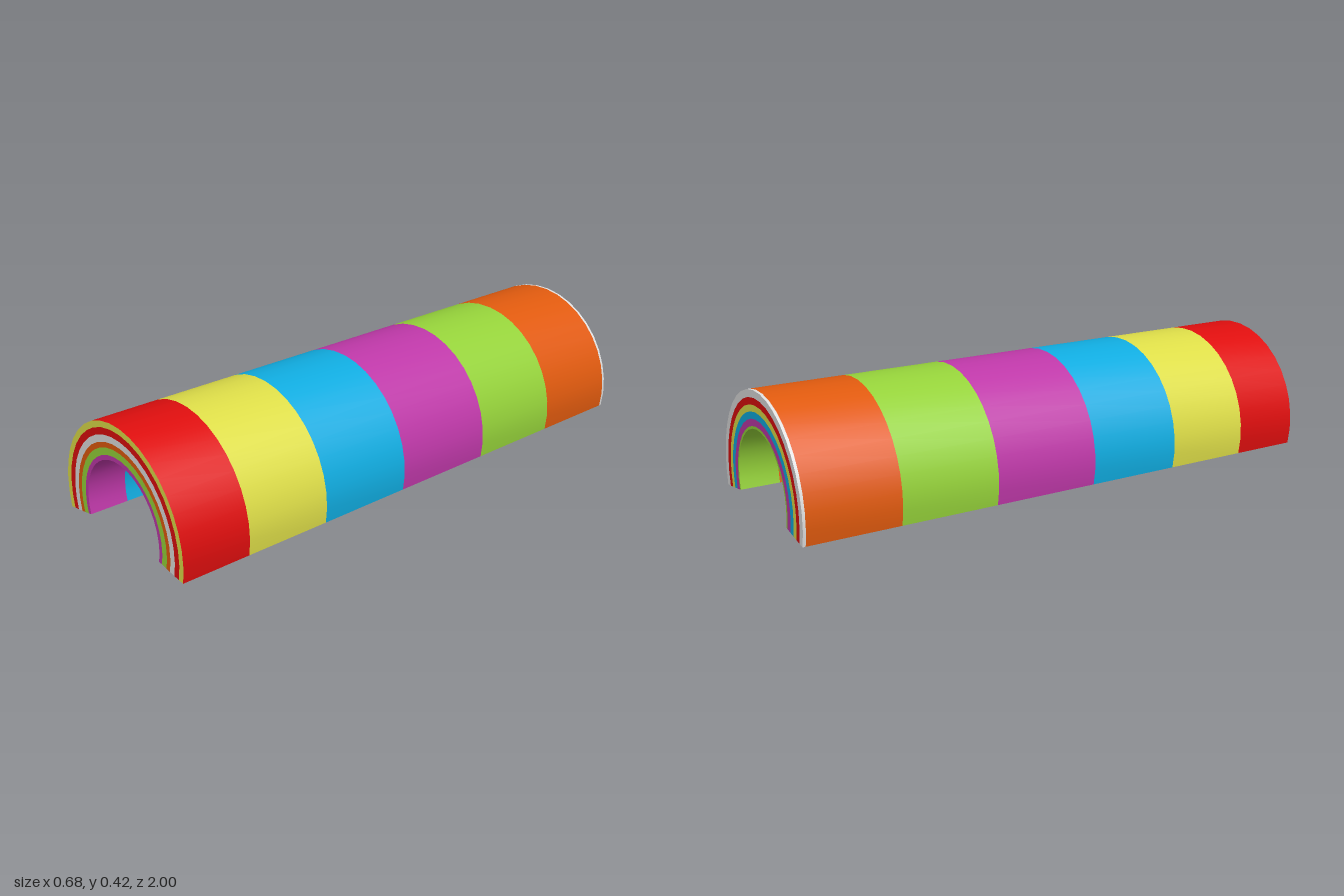
import * as THREE from 'three';

const mat = (name, color) => {
  const m = new THREE.MeshStandardMaterial({ color });
  m.name = name;
  return m;
};

const R_IN = 0.21, R_OUT = 0.34, CENTRE_Y = 0.0765, SEGMENTS = 21;

// Point on the arch: radius r, t from 0 (right-hand foot, +x) to 1 (foot at -x)
function archPoint(r, t, z) {
  const k = (r - R_IN) / (R_OUT - R_IN);
  const start = -THREE.MathUtils.lerp(14.3, 12, k);
  const end = 180 + THREE.MathUtils.lerp(15, 13, k);
  const a = THREE.MathUtils.degToRad(THREE.MathUtils.lerp(start, end, t));
  return [r * Math.cos(a), CENTRE_Y + r * Math.sin(a), z];
}

// Surface stretched between two curves a(t) and b(t)
function strip(a, b, segments = SEGMENTS) {
  const pos = [], index = [];
  for (let i = 0; i <= segments; i++) pos.push(...a(i / segments), ...b(i / segments));
  for (let i = 0; i < segments; i++) {
    const k = i * 2;
    index.push(k, k + 1, k + 2, k + 1, k + 3, k + 2);
  }
  const g = new THREE.BufferGeometry();
  g.setAttribute('position', new THREE.Float32BufferAttribute(pos, 3));
  g.setIndex(index);
  g.computeVertexNormals();
  return g;
}

export function createModel() {
  const red = mat('red', 0xde0e0e);
  const yellow = mat('yellow', 0xdddd48);
  const blue = mat('blue', 0x10ace0);
  const purple = mat('purple', 0xbe38a8);
  const green = mat('green', 0x95d23a);
  const orange = mat('orange', 0xe05a0e);
  const white = mat('white', 0xdedede);

  const model = new THREE.Group();
  model.name = 'archedTunnel';
  const add = (name, geometry, material) => {
    const m = new THREE.Mesh(geometry, material);
    m.name = name;
    model.add(m);
  };
  const arc = (r, z) => (t) => archPoint(r, t, z);

  // Outer shell stripes, front to back
  const outerZ = [1, 0.75, 0.435, 0.085, -0.305, -0.66, -0.99, -1];
  [red, yellow, blue, purple, green, orange, white].forEach((m, i) =>
    add('outerStripe' + (i + 1), strip(arc(R_OUT, outerZ[i]), arc(R_OUT, outerZ[i + 1])), m));

  // Inner lining stripes, front to back
  const innerZ = [1, 0.86, 0.51, 0.18, -0.2, -0.55, -0.86, -1];
  [purple, blue, yellow, red, white, orange, green].forEach((m, i) =>
    add('innerStripe' + (i + 1), strip(arc(R_IN, innerZ[i + 1]), arc(R_IN, innerZ[i])), m));

  // Rainbow bands on both ends, outside to inside
  const frontR = [R_OUT, 0.318, 0.294, 0.27, 0.251, 0.226, R_IN];
  [yellow, red, white, orange, green, purple].forEach((m, i) =>
    add('frontBand' + (i + 1), strip(arc(frontR[i + 1], 1), arc(frontR[i], 1)), m));
  const backR = [R_OUT, 0.314, 0.29, 0.267, 0.243, 0.219, R_IN];
  [white, red, yellow, blue, purple, green].forEach((m, i) =>
    add('backBand' + (i + 1), strip(arc(backR[i], -1), arc(backR[i + 1], -1)), m));

  // Flat undersides of the two feet
  const edge = (t, z) => (s) => archPoint(THREE.MathUtils.lerp(R_IN, R_OUT, s), t, z);
  add('leftFoot', strip(edge(0, 1), edge(0, -1), 1), blue);
  add('rightFoot', strip(edge(1, -1), edge(1, 1), 1), blue);

  return model;
}
